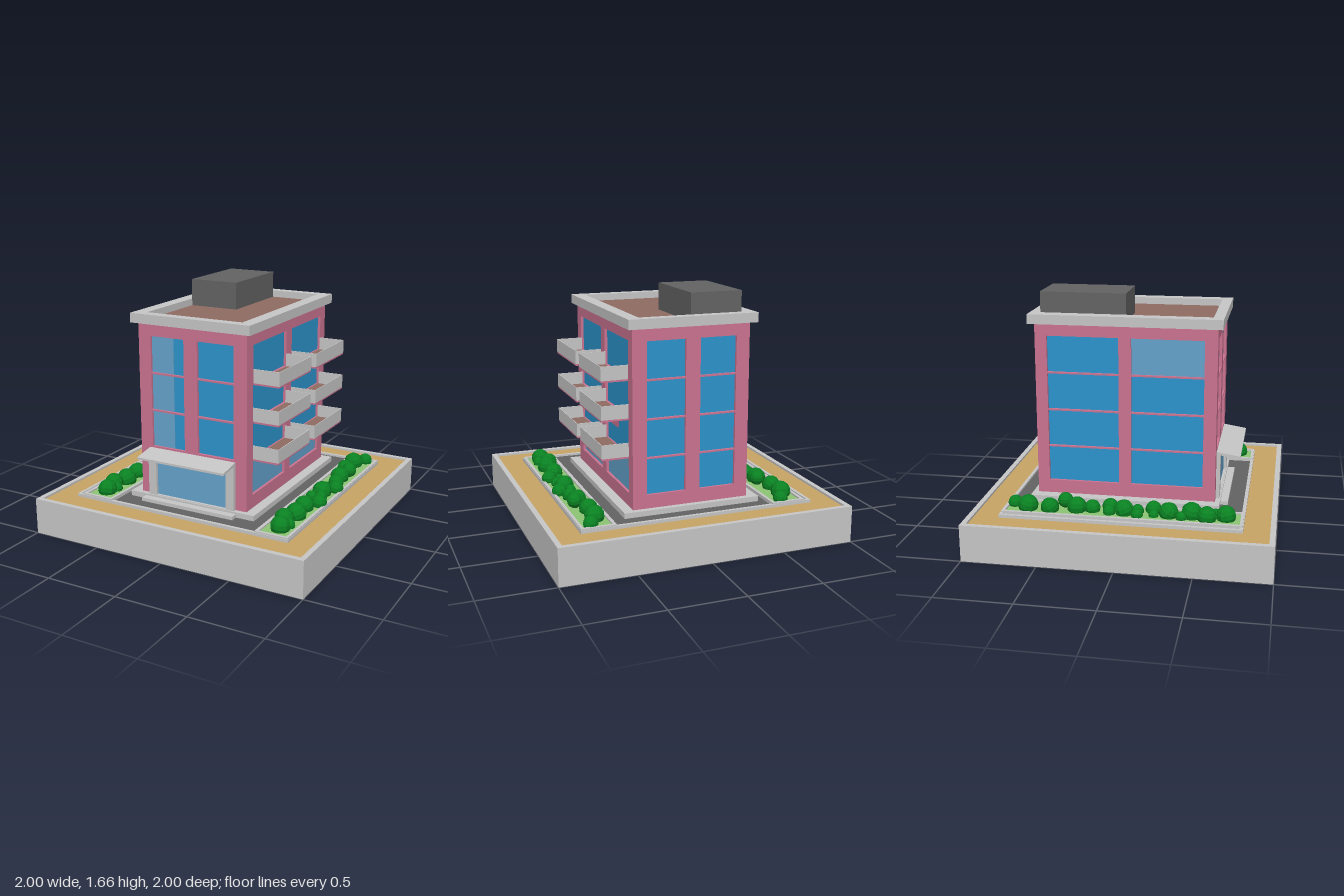
import * as THREE from 'three';

const paint = (name, color) => {
  const m = new THREE.MeshStandardMaterial({ color });
  m.name = name;
  return m;
};

export function createModel() {
  const root = new THREE.Group();
  root.name = 'apartmentBuilding';
  const concrete = paint('concrete', 0xc6c6c6);
  const pink = paint('pinkWall', 0xcb7391);
  const glass = paint('glass', 0x2c94cc);
  const paleGlass = paint('paleGlass', 0x64a2cb);
  const asphalt = paint('asphalt', 0x636363);
  const brown = paint('brownFloor', 0x8f6b62);
  const sand = paint('sand', 0xc8a466);
  const grass = paint('grass', 0x8cc474);
  const leaf = paint('leaf', 0x0a8222);

  const add = (name, geo, mat, parent = root) => {
    const mesh = new THREE.Mesh(geo, mat);
    mesh.name = name;
    parent.add(mesh);
    return mesh;
  };
  // Box given by its limits on each axis
  const box = (name, mat, x0, x1, y0, y1, z0, z1, parent = root) => {
    const mesh = add(name, new THREE.BoxGeometry(x1 - x0, y1 - y0, z1 - z0), mat, parent);
    mesh.position.set((x0 + x1) / 2, (y0 + y1) / 2, (z0 + z1) / 2);
    return mesh;
  };
  const rect = (Kind, a0, a1, b0, b1) => {
    const s = new Kind();
    s.moveTo(a0, b0).lineTo(a1, b0).lineTo(a1, b1).lineTo(a0, b1).closePath();
    return s;
  };
  // Upright panel with rectangular holes [a0, a1, b0, b1]
  const panel = (outer, holes, depth) => {
    const shape = rect(THREE.Shape, ...outer);
    shape.holes = holes.map(h => rect(THREE.Path, ...h));
    return new THREE.ExtrudeGeometry(shape, { depth, bevelEnabled: false });
  };
  // Flat rectangular ring from limits in x and z, standing on y0
  const ring = (name, mat, [x0, x1, z0, z1], [a0, a1, c0, c1], y0, y1) => {
    const geo = panel([x0, x1, -z1, -z0], [[a0, a1, -c1, -c0]], y1 - y0);
    geo.rotateX(-Math.PI / 2).translate(0, y0, 0);
    return add(name, geo, mat);
  };

  // Base tray and site
  box('base', concrete, -1, 1, 0, 0.22, -1, 1);
  ring('baseRim', concrete, [-1, 1, -1, 1], [-0.965, 0.965, -0.965, 0.965], 0.22, 0.25);
  box('sandGround', sand, -0.965, 0.965, 0.22, 0.235, -0.965, 0.965);
  box('pavement', asphalt, -0.79, 0.79, 0.23, 0.242, -0.79, 0.79);
  ring('siteCurb', concrete, [-0.8, 0.8, -0.8, 0.795], [-0.778, 0.775, -0.778, 0.772], 0.23, 0.256);
  box('plinth', concrete, -0.475, 0.472, 0.24, 0.278, -0.67, 0.616);

  // Planters with the same row of bushes on both sides: x, z, radius
  const bushes = [
    [-0.606, -0.738, 0.05], [-0.66, -0.636, 0.068], [-0.665, -0.486, 0.062], [-0.6, -0.395, 0.052],
    [-0.638, -0.309, 0.066], [-0.622, -0.207, 0.054], [-0.654, -0.09, 0.043], [-0.579, -0.095, 0.054],
    [-0.638, 0.007, 0.066], [-0.676, 0.098, 0.04], [-0.611, 0.093, 0.043], [-0.579, 0.195, 0.054],
    [-0.654, 0.205, 0.034], [-0.638, 0.302, 0.066], [-0.67, 0.388, 0.038], [-0.627, 0.452, 0.07],
    [-0.665, 0.554, 0.065], [-0.606, 0.608, 0.043], [-0.633, 0.677, 0.066],
  ];
  const bushGeo = new THREE.SphereGeometry(1, 10, 7).toNonIndexed();
  bushGeo.computeVertexNormals();
  for (const [side, dx, x0, x1] of [['right', 0, -0.755, -0.52], ['left', 1.324, 0.565, 0.797]]) {
    ring(side + 'PlanterEdge', concrete, [x0, x1, -0.797, 0.79], [x0 + 0.022, x1 - 0.02, -0.775, 0.77], 0.235, 0.265);
    box(side + 'Grass', grass, x0 + 0.02, x1 - 0.018, 0.235, 0.254, -0.777, 0.772);
    bushes.forEach(([x, z, r], i) => {
      const bush = add(side + 'Bush', bushGeo, leaf);
      bush.position.set(x + dx, i === 3 ? 0.308 : 0.242 + 0.6 * r, z);
      bush.scale.setScalar(r);
      bush.rotation.set(0.3 * Math.sin(i * 2.1), i * 1.3, 0.3 * Math.cos(i * 1.7));
    });
  }

  // Building core
  box('core', pink, -0.375, 0.375, 0.27, 1.46, -0.605, 0.555);

  // Facades: wall with window openings, glass set back inside
  const rows = [[0.37, 0.61], [0.62, 0.865], [0.876, 1.12], [1.131, 1.375]];
  const facade = (name, limits, columns, floors, turn, pos, isPale) => {
    const g = new THREE.Group();
    g.name = name;
    g.rotation.y = turn;
    g.position.set(...pos);
    root.add(g);
    const holes = [];
    for (const f of floors) columns.forEach(([a, b], c) => {
      holes.push([a, b, ...rows[f]]);
      box('window', isPale(f, c) ? paleGlass : glass, a, b, ...rows[f], 0, 0.008, g);
    });
    add('wall', panel([...limits, 0.27, 1.46], holes, 0.027), pink, g);
    return g;
  };
  const frontCols = [[-0.31, -0.06], [0.04, 0.305]];
  const sideCols = [[-0.497, -0.013], [0.07, 0.552]];
  const flip = cols => cols.map(([a, b]) => [-b, -a]);
  const front = facade('frontFacade', [-0.375, 0.375], frontCols, [1, 2, 3], 0, [0, 0, 0.555], () => false);
  facade('backFacade', [-0.375, 0.375], flip(frontCols), [0, 1, 2, 3], Math.PI, [0, 0, -0.605], () => false);
  const balconySide = facade('balconyFacade', [-0.582, 0.632], sideCols, [0, 1, 2, 3], Math.PI / 2,
    [0.375, 0, 0], f => f === 0);
  facade('plainSideFacade', [-0.632, 0.582], flip(sideCols), [0, 1, 2, 3], -Math.PI / 2,
    [-0.375, 0, 0], (f, c) => f === 3 && c === 0);

  // Pale part of the front windows
  for (const f of [1, 2, 3]) box('paleWindowPart', paleGlass, -0.31, -0.145, ...rows[f], 0.008, 0.011, front);

  // Pink blind with a rounded corner behind one balcony
  const blind = new THREE.Shape();
  blind.moveTo(0.07, 0.74).lineTo(0.285, 0.74).quadraticCurveTo(0.313, 0.74, 0.313, 0.77)
    .lineTo(0.313, 0.865).lineTo(0.07, 0.865).closePath();
  add('blind', new THREE.ShapeGeometry(blind), pink, balconySide).position.z = 0.012;

  // Balconies
  for (const y of [0.605, 0.86, 1.115]) for (const [z0, z1] of [[0.01, 0.494], [-0.555, -0.073]]) {
    box('balconySlab', pink, 0.395, 0.583, y, y + 0.012, z0, z1);
    box('balconyFloor', brown, 0.395, 0.581, y + 0.012, y + 0.016, z0 + 0.002, z1 - 0.002);
    box('balconyFrontRail', concrete, 0.58, 0.585, y + 0.011, y + 0.104, z0, z1);
    for (const z of [z0, z1 - 0.005]) box('balconySideRail', concrete, 0.4, 0.58, y + 0.011, y + 0.104, z, z + 0.005);
  }

  // Roof
  ring('parapet', concrete, [-0.443, 0.437, -0.67, 0.616], [-0.354, 0.349, -0.602, 0.545], 1.458, 1.522);
  box('roofDeck', brown, -0.36, 0.355, 1.455, 1.475, -0.604, 0.548);
  box('roofHousing', asphalt, -0.354, -0.003, 1.47, 1.66, -0.6, -0.025);

  // Entrance
  box('entranceStep', concrete, -0.355, 0.342, 0.24, 0.266, 0.6, 0.667);
  const frame = panel([-0.333, 0.32, 0.275, 0.59], [[-0.273, 0.26, 0.282, 0.562]], 0.027);
  add('entranceFrame', frame, concrete).position.z = 0.581;
  box('entranceGlass', paleGlass, -0.273, 0.26, 0.282, 0.562, 0.582, 0.589);
  const canopy = new THREE.Shape();
  canopy.moveTo(-0.58, 0.588).lineTo(-0.58, 0.608).lineTo(-0.742, 0.583).lineTo(-0.742, 0.568).closePath();
  const canopyGeo = new THREE.ExtrudeGeometry(canopy, { depth: 0.653, bevelEnabled: false });
  canopyGeo.rotateY(Math.PI / 2);
  add('canopy', canopyGeo, concrete).position.x = -0.333;

  return root;
}
